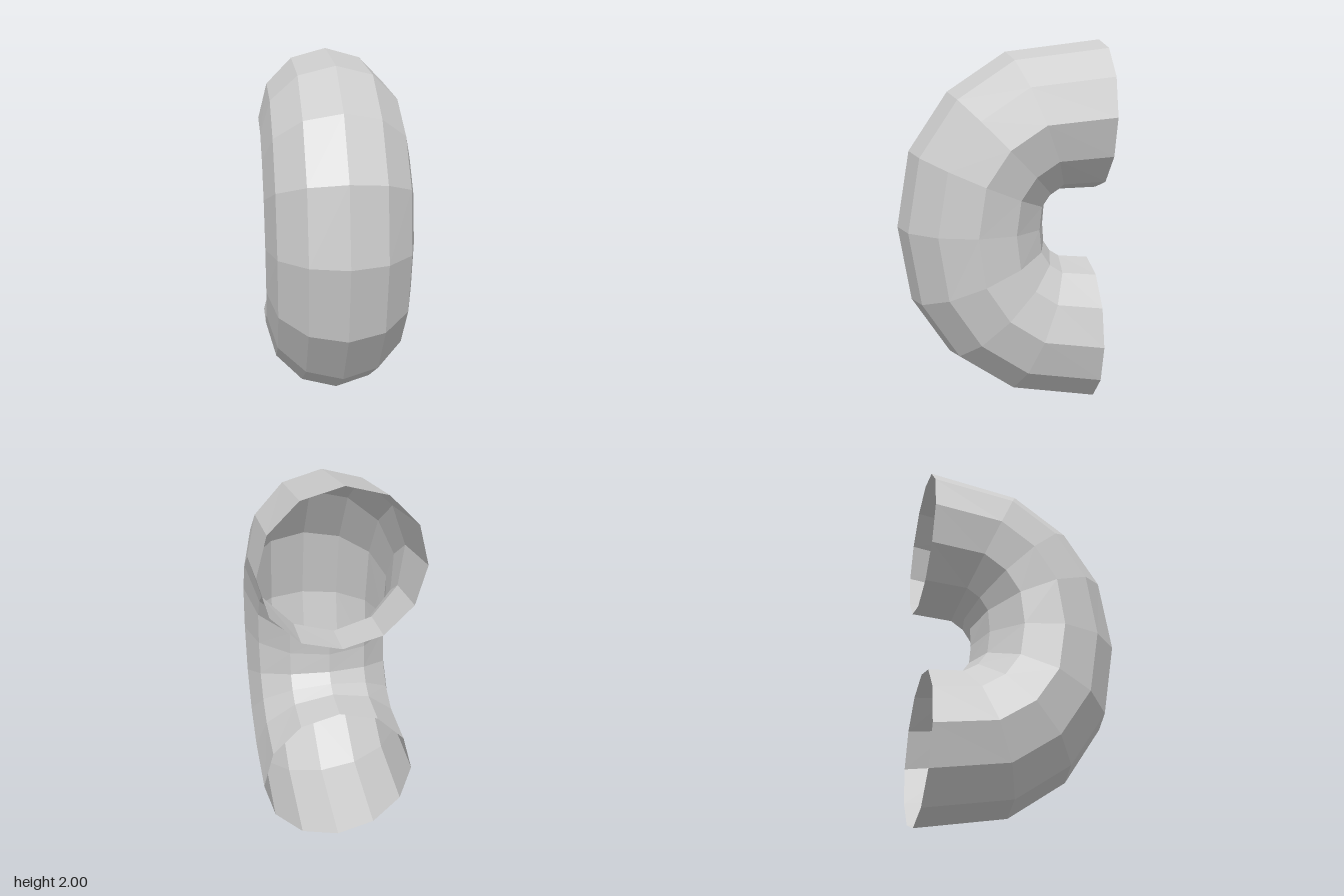
import * as THREE from 'three';

// Centre line of the bend, top end to bottom end: [y, z] of each ring
const CENTRES = [
  [1.6, -0.55], [1.563, -0.192], [1.441, -0.01], [1.259, 0.112], [1.002, 0.15],
  [0.747, 0.112], [0.564, -0.01], [0.444, -0.192], [0.4, -0.51],
];
const RADIUS = 0.4;
const SIDES = 12;

// Open cylinder whose rows are moved onto the centre line and turned through 180 degrees
function bentPipe() {
  const rows = CENTRES.length - 1;
  const geometry = new THREE.CylinderGeometry(RADIUS, RADIUS, 1, SIDES, rows, true);
  const position = geometry.attributes.position;
  for (let i = 0; i < position.count; i++) {
    const row = Math.round((0.5 - position.getY(i)) * rows);
    const angle = Math.PI / 2 - (row / rows) * Math.PI;
    const [y, z] = CENTRES[row];
    const out = position.getZ(i);
    position.setY(i, y + out * Math.sin(angle));
    position.setZ(i, z + out * Math.cos(angle));
  }
  geometry.computeVertexNormals();
  return geometry;
}

export function createModel() {
  const group = new THREE.Group();
  group.name = 'pipeBend';
  const material = new THREE.MeshStandardMaterial({
    color: 0xcccccc, flatShading: true, side: THREE.DoubleSide,
  });
  const pipe = new THREE.Mesh(bentPipe(), material);
  pipe.name = 'curvedPipe';
  group.add(pipe);
  return group;
}
